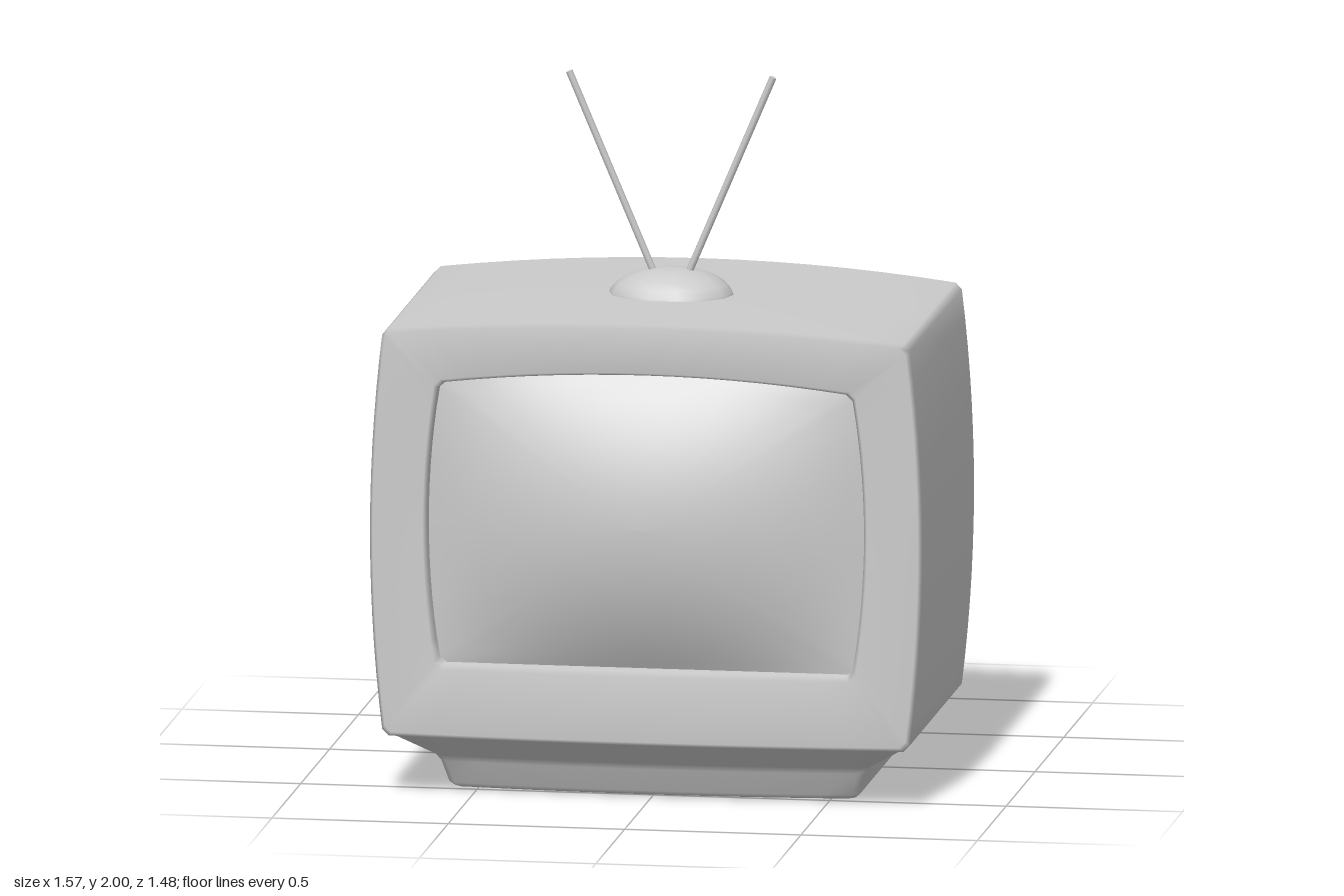
import * as THREE from 'three';

const material = new THREE.MeshStandardMaterial({ color: 0xcccccc });
const SEGMENTS = 14;

// Section: [half width, bottom, top, side bulge, top bulge, bottom bulge, depth, depth bulge]
// Returns a closed, counter-clockwise outline of a bulged rectangle with clipped corners.
function outline([w, b, t, side, up, down], corner = 0.018) {
  const pts = [];
  const c = Math.min(corner, w * 0.2);
  const mid = (b + t) / 2, hw = w - c, hh = (t - b) / 2 - c;
  const run = (fn) => {
    for (let i = 0; i <= SEGMENTS; i++) {
      const q = -1 + (2 * i) / SEGMENTS;
      pts.push(fn(q, 1 - q * q));
    }
  };
  run((q, k) => [w + side * k, mid + hh * q]);
  run((q, k) => [-hw * q, t + up * k]);
  run((q, k) => [-w - side * k, mid - hh * q]);
  run((q, k) => [hw * q, b - down * k]);
  return pts;
}

// Depth follows a shallow arch across the width.
function sectionRing(s) {
  return outline(s).map(([x, y]) => [x, y, s[6] + s[7] * (1 - (x / s[0]) ** 2)]);
}

// Rings shrinking towards the centre of the last section, closing it with the same arch.
function capRings(s) {
  const mid = (s[1] + s[2]) / 2;
  return [0.8, 0.55, 0.3, 0.001].map((k) => outline(s).map(([x, y]) =>
    [x * k, mid + (y - mid) * k, s[6] + s[7] * (1 - ((x * k) / s[0]) ** 2)]));
}

// Swaps every inner section for two close neighbours, giving a soft bevel.
function bevel(sections, size) {
  const out = [sections[0]];
  const toward = (a, b) => {
    const d = Math.hypot(a[0] - b[0], a[1] - b[1], a[6] - b[6]);
    const f = Math.min(0.4, size / d);
    return a.map((v, i) => v + (b[i] - v) * f);
  };
  for (let i = 1; i < sections.length - 1; i++) {
    out.push(toward(sections[i], sections[i - 1]), toward(sections[i], sections[i + 1]));
  }
  out.push(sections[sections.length - 1]);
  return out;
}

// Skins a list of rings with equal point counts.
function loft(rings) {
  const n = rings[0].length, index = [];
  for (let i = 0; i < rings.length - 1; i++) {
    for (let j = 0; j < n; j++) {
      const k = (j + 1) % n;
      const a = i * n + j, b = i * n + k, c = b + n, d = a + n;
      index.push(a, d, b, b, d, c);
    }
  }
  const geometry = new THREE.BufferGeometry();
  geometry.setAttribute('position', new THREE.Float32BufferAttribute(rings.flat(2), 3));
  geometry.setIndex(index);
  geometry.computeVertexNormals();
  return geometry;
}

function addMesh(group, name, geometry) {
  const mesh = new THREE.Mesh(geometry, material);
  mesh.name = name;
  group.add(mesh);
  return mesh;
}

export function createModel() {
  const model = new THREE.Group();
  model.name = 'television';

  // Cabinet: recess, front frame, side walls, sloped shoulder, rear housing
  const back = [0.425, 0.395, 0.985, 0.02, 0.02, 0, -0.70, -0.04];
  const cabinet = bevel([
    [0.585, 0.385, 1.185, 0.032, 0.04, 0, 0.56, 0],
    [0.588, 0.382, 1.188, 0.032, 0.04, 0, 0.655, 0.022],
    [0.748, 0.172, 1.333, 0.035, 0.04, 0, 0.645, 0.036],
    [0.748, 0.172, 1.333, 0.035, 0.04, 0, -0.29, -0.035],
    [0.577, 0.278, 1.075, 0.025, 0.03, 0, -0.405, -0.03],
    back,
    back.map((v, i) => [v * 0.85, 0.43, 0.95, v, v, v, -0.711, -0.029][i]),
  ], 0.016);
  const cabinetRings = cabinet.map(sectionRing);
  cabinetRings.push(...capRings(cabinet[cabinet.length - 1]));
  addMesh(model, 'cabinet', loft(cabinetRings));

  // Screen: pillow-shaped glass filling the opening
  const glass = [0.587, 0.383, 1.187, 0.032, 0.04, 0];
  const glassMid = 0.8;
  const screenRings = [];
  for (let i = 0; i <= 12; i++) {
    const k = Math.max(0.001, i / 12);
    screenRings.push(outline(glass).map(([x, y]) => {
      const px = x * k, py = glassMid + (y - glassMid) * k;
      const u = Math.min(1, Math.abs(px) / 0.617), v = Math.min(1, Math.abs(py - glassMid) / 0.422);
      return [px, py, 0.61 + 0.13 * (1 - u * u) * (1 - v * v)];
    }));
  }
  addMesh(model, 'screen', loft(screenRings));

  // Base: lofted downwards, with front and back edges bowed outwards
  const base = bevel([
    [0.735, -0.635, 0.28, 0, 0.034, 0.034, 0.18, 0],
    [0.605, -0.525, 0.18, 0, 0.03, 0.032, 0.095, 0],
    [0.578, -0.49, 0.125, 0, 0.03, 0.03, 0.004, 0],
    [0.45, -0.40, 0.04, 0, 0.02, 0.02, 0, 0],
  ], 0.014);
  const baseRings = base.map(sectionRing);
  baseRings.push(...capRings(base[base.length - 1]));
  addMesh(model, 'base', loft(baseRings).rotateX(-Math.PI / 2));

  // Antenna: squashed dome and two splayed rods
  const dome = addMesh(model, 'antennaDome',
    new THREE.SphereGeometry(1, 14, 6, 0, Math.PI * 2, 0, Math.PI / 2));
  dome.scale.set(0.18, 0.09, 0.148);
  dome.position.set(0, 1.355, 0.185);

  for (const side of [1, -1]) {
    const start = new THREE.Vector3(side * 0.045, 1.42, 0.192);
    const end = new THREE.Vector3(side * 0.289, 1.996, 0.192);
    const direction = end.clone().sub(start);
    const rod = addMesh(model, side > 0 ? 'leftAntennaRod' : 'rightAntennaRod',
      new THREE.CylinderGeometry(0.01, 0.01, direction.length(), 8));
    rod.position.copy(start).add(end).multiplyScalar(0.5);
    rod.quaternion.setFromUnitVectors(new THREE.Vector3(0, 1, 0), direction.normalize());
  }

  return model;
}
